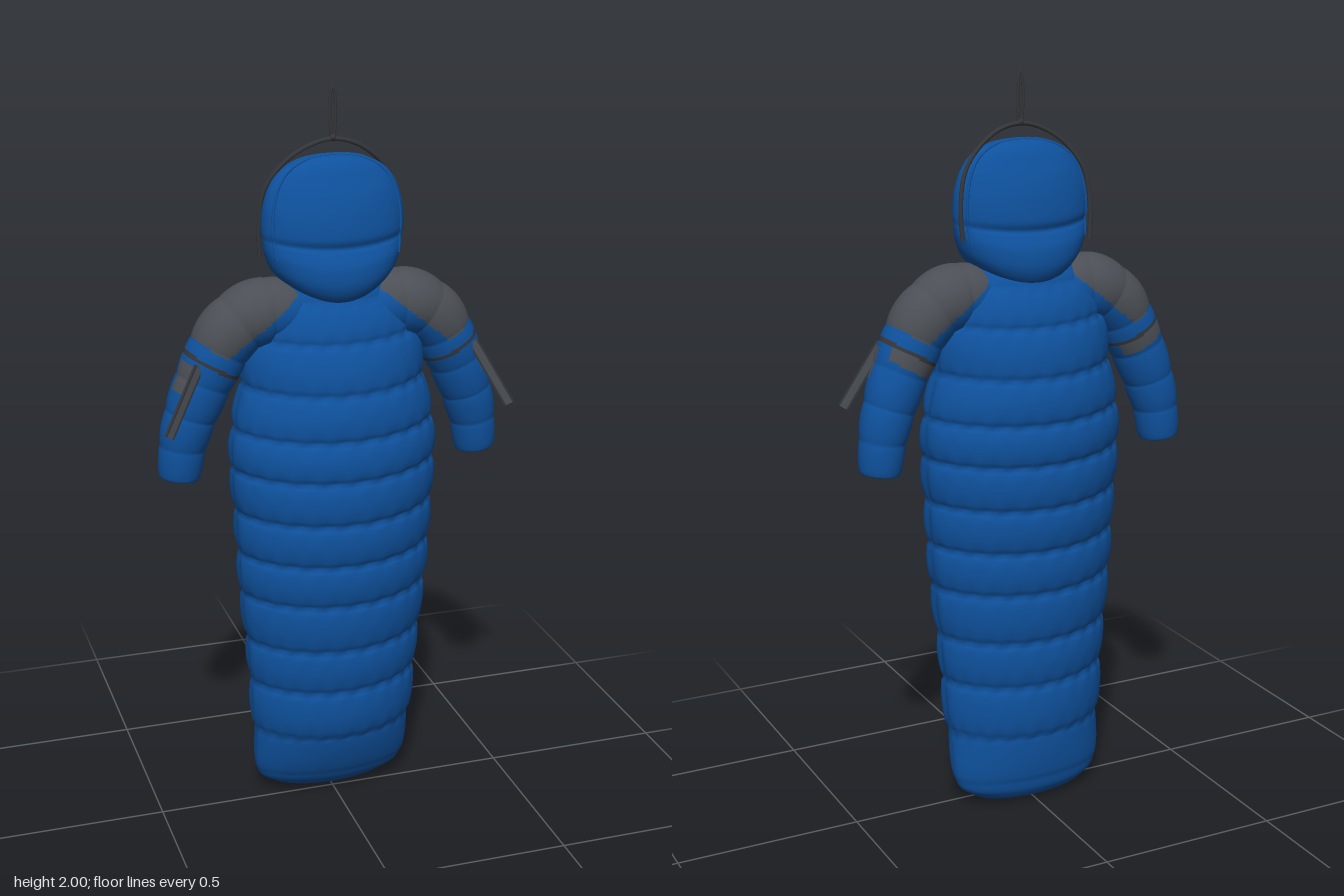
import * as THREE from 'three';

const mat = (name, color, side = THREE.FrontSide) => {
  const m = new THREE.MeshStandardMaterial({ color, side });
  m.name = name;
  return m;
};

// Catmull-Rom sampling of a table of rows, t in 0..1
function sample(table, t) {
  const n = table.length - 1, f = Math.min(t, 0.999999) * n, i = Math.floor(f), s = f - i;
  const at = k => table[Math.max(0, Math.min(n, k))];
  const [a, b, c, d] = [at(i - 1), at(i), at(i + 1), at(i + 2)];
  const row = b.map((_, k) => 0.5 * (2 * b[k] + (c[k] - a[k]) * s
    + (2 * a[k] - 5 * b[k] + 4 * c[k] - d[k]) * s * s
    + (3 * b[k] - a[k] - 3 * c[k] + d[k]) * s * s * s));
  return { row, i, s };
}

// Closed-ring surface from fn(angle, v); pick(point) chooses a material index
function loft(rows, cols, fn, pick = () => 0, count = 1) {
  const pos = [], buckets = Array.from({ length: count }, () => []);
  for (let i = 0; i <= rows; i++)
    for (let j = 0; j < cols; j++) pos.push(...fn((j / cols) * Math.PI * 2, i / rows));
  const centre = ids => [0, 1, 2].map(k => ids.reduce((sum, id) => sum + pos[id * 3 + k], 0) / ids.length);
  for (let i = 0; i < rows; i++)
    for (let j = 0; j < cols; j++) {
      const a = i * cols + j, b = i * cols + (j + 1) % cols, c = a + cols, d = b + cols;
      buckets[pick(centre([a, b, c, d]), (i + 0.5) / rows)].push(a, c, b, b, c, d);
    }
  const g = new THREE.BufferGeometry();
  g.setAttribute('position', new THREE.Float32BufferAttribute(pos, 3));
  g.setIndex(buckets.flat());
  let start = 0;
  buckets.forEach((b, k) => { g.addGroup(start, b.length, k); start += b.length; });
  g.computeVertexNormals();
  return g;
}

// Quilted bag: y, half width, front z, back z, puff of the baffle above this seam
const BAG = [
  [0.004, 0, -0.04, -0.04, 0], [0.01, 0.11, -0.01, -0.08, 0], [0.035, 0.175, 0.025, -0.11, 0],
  [0.08, 0.215, 0.06, -0.125, 0.005], [0.22, 0.222, 0.11, -0.138, 0.014], [0.37, 0.23, 0.128, -0.142, 0.014],
  [0.5, 0.24, 0.142, -0.148, 0.015], [0.64, 0.253, 0.156, -0.156, 0.015], [0.76, 0.26, 0.166, -0.162, 0.015],
  [0.88, 0.266, 0.173, -0.17, 0.015], [1.0, 0.273, 0.174, -0.174, 0.015], [1.11, 0.268, 0.166, -0.172, 0.015],
  [1.23, 0.243, 0.15, -0.16, 0.015], [1.36, 0.225, 0.12, -0.135, 0.012], [1.46, 0.18, 0.085, -0.1, 0.005],
  [1.53, 0.12, 0.05, -0.05, 0]];
function bagPoint(a, v) {
  const { row: [y, w, zf, zb], i, s } = sample(BAG, v);
  const c = Math.cos(a), sn = Math.sin(a), puff = BAG[i][4] * Math.sqrt(Math.sin(Math.PI * s));
  const wrinkle = BAG[i][4] > 0.01 ? 0.0025 * Math.sin(23 * a + i * 2.1) * (1 - Math.sin(Math.PI * s)) : 0;
  const sideSeam = 1 - 0.6 * Math.exp(-((sn / 0.12) ** 2));
  const grow = puff * sideSeam + wrinkle;
  const z = Math.sign(sn) * Math.abs(sn) ** 1.08;
  const tilt = BAG[i][4] > 0.01 ? 0.012 * (c * c - 0.5) : 0;
  return [(Math.max(0, w) + grow) * c, y + tilt, (zf + zb) / 2 + ((zf - zb) / 2 + grow) * z];
}

// Hood: y, half width, half depth
const HOOD = [
  [1.455, 0.08, 0.05], [1.462, 0.13, 0.092], [1.5, 0.164, 0.115], [1.55, 0.181, 0.115], [1.585, 0.186, 0.1],
  [1.6, 0.187, 0.09], [1.625, 0.19, 0.097], [1.68, 0.188, 0.09], [1.73, 0.178, 0.077], [1.77, 0.158, 0.06],
  [1.8, 0.125, 0.045], [1.82, 0.072, 0.025], [1.827, 0, 0]];
function hoodPoint(a, v) {
  const { row: [y, w, d] } = sample(HOOD, v);
  const c = Math.cos(a), sag = 0.04 * c * c * THREE.MathUtils.clamp((1.72 - y) / 0.25, 0, 1);
  return [Math.max(0, w) * c, y + sag, Math.max(0, d) * Math.sin(a)];
}

// Sleeve: centre line x, y, z and radius
const SLEEVE = [
  [0.1, 1.42, 0, 0.075], [0.19, 1.43, 0, 0.087], [0.275, 1.385, -0.003, 0.083], [0.33, 1.295, -0.006, 0.077],
  [0.375, 1.19, -0.012, 0.07], [0.405, 1.09, -0.018, 0.062], [0.418, 0.99, -0.022, 0.053]];
function sleevePoint(side, a, v) {
  const t = Math.min(v / 0.97, 1);
  const { row: [x, y, z, r0] } = sample(SLEEVE, t);
  const p = sample(SLEEVE, Math.max(0, t - 0.01)).row, q = sample(SLEEVE, Math.min(1, t + 0.01)).row;
  const T = new THREE.Vector2((q[0] - p[0]) * side, q[1] - p[1]).normalize();
  let r = r0 + 0.005 * Math.sqrt(Math.abs(Math.sin(t * Math.PI * 7))) - 0.002;
  // turned-in cuff end
  if (v > 0.97) r *= 1 - (v - 0.97) / 0.03;
  return [x * side + T.y * r * Math.cos(a), y - T.x * r * Math.cos(a), z + r * Math.sin(a)];
}
// Sleeve areas: 0 shell, 1 shoulder and pocket panels, 2 trim
function sleeveArea([px, y, z], v) {
  const x = Math.abs(px), d = ((x - 0.3) * 0.04 - (y - 1.33) * 0.07) / 0.0806;
  if (v > 0.98) return 1;
  if (d <= 0) return y > 1.45 - 0.8 * (x - 0.15) ? 1 : 0;
  if (d > 0.034 && d < 0.044) return 2;
  const outer = x > 0.375 + (1.3 - y) * 0.35;
  if (d > 0.06 && d < 0.14 && outer && z > -0.005 && z < 0.05) return 1;
  if (d > 0.044 && d < 0.08 && z < -0.05) return 1;
  return 0;
}

export function createModel() {
  const group = new THREE.Group();
  const blue = mat('blue shell', 0x0e519d);
  const grey = mat('grey panel', 0x4b4f55);
  const dark = mat('dark trim', 0x34363a);
  const add = (name, geo, m) => {
    const mesh = new THREE.Mesh(geo, m);
    mesh.name = name;
    group.add(mesh);
    return mesh;
  };
  const tube = (name, pts, r, m, closed = false) => add(name, new THREE.TubeGeometry(
    new THREE.CatmullRomCurve3(pts.map(p => new THREE.Vector3(...p)), closed), 80, r, 8, closed), m);

  add('quiltedBag', loft(180, 96, bagPoint), blue);
  add('hood', loft(72, 72, hoodPoint), blue);

  // Raised seams running over the hood, front and back
  for (const f of [1, -1]) {
    const pts = [];
    for (let k = 0; k <= 12; k++) pts.push(hoodPoint(f * 0.45, 0.25 + 0.7 * k / 12));
    const other = pts.map(([x, y, z]) => [-x, y, z]).reverse();
    tube(f > 0 ? 'hoodFrontSeam' : 'hoodBackSeam', [...pts, ...other], 0.004, blue);
  }

  for (const side of [1, -1]) {
    const label = side > 0 ? 'left' : 'right';
    add(label + 'Sleeve', loft(150, 72, (a, v) => sleevePoint(side, a, v), sleeveArea, 3), [blue, grey, dark]);

    // Loose strap hanging off the sleeve
    const from = new THREE.Vector3(0.375 * side, 1.315, 0.058), to = new THREE.Vector3(0.468 * side, 1.145, 0.099);
    const along = to.clone().sub(from), len = along.length();
    along.normalize();
    const n = new THREE.Vector3(-along.z, 0, along.x).normalize();
    const w = along.clone().cross(n);
    const strap = add(label + 'Strap', new THREE.BoxGeometry(0.006, 0.024, len), grey);
    strap.applyMatrix4(new THREE.Matrix4().makeBasis(n, w, along).setPosition(from.add(to).multiplyScalar(0.5)));
    for (const e of [-1, 1]) {
      const edge = new THREE.Mesh(new THREE.BoxGeometry(0.008, 0.005, len), dark);
      edge.name = 'strapEdge';
      edge.position.y = e * 0.012;
      strap.add(edge);
    }
  }

  // Cord over the hood and the hanging loop above it
  tube('hoodCord', [[-0.184, 1.56, -0.04], [-0.187, 1.64, -0.035], [-0.174, 1.74, -0.025], [-0.125, 1.81, -0.01],
    [-0.06, 1.852, 0], [0, 1.865, 0], [0.06, 1.852, 0], [0.125, 1.808, -0.01], [0.17, 1.75, -0.025],
    [0.187, 1.66, -0.035], [0.184, 1.58, -0.04]], 0.006, dark);
  tube('hangingLoop', [[0, 1.862, 0], [0.006, 1.89, 0], [0.005, 1.98, 0], [0, 1.996, 0], [-0.005, 1.98, 0],
    [-0.006, 1.89, 0]], 0.004, dark, true);
  const knot = add('loopKnot', new THREE.SphereGeometry(0.009, 12, 8), dark);
  knot.position.set(0, 1.868, 0);
  return group;
}
